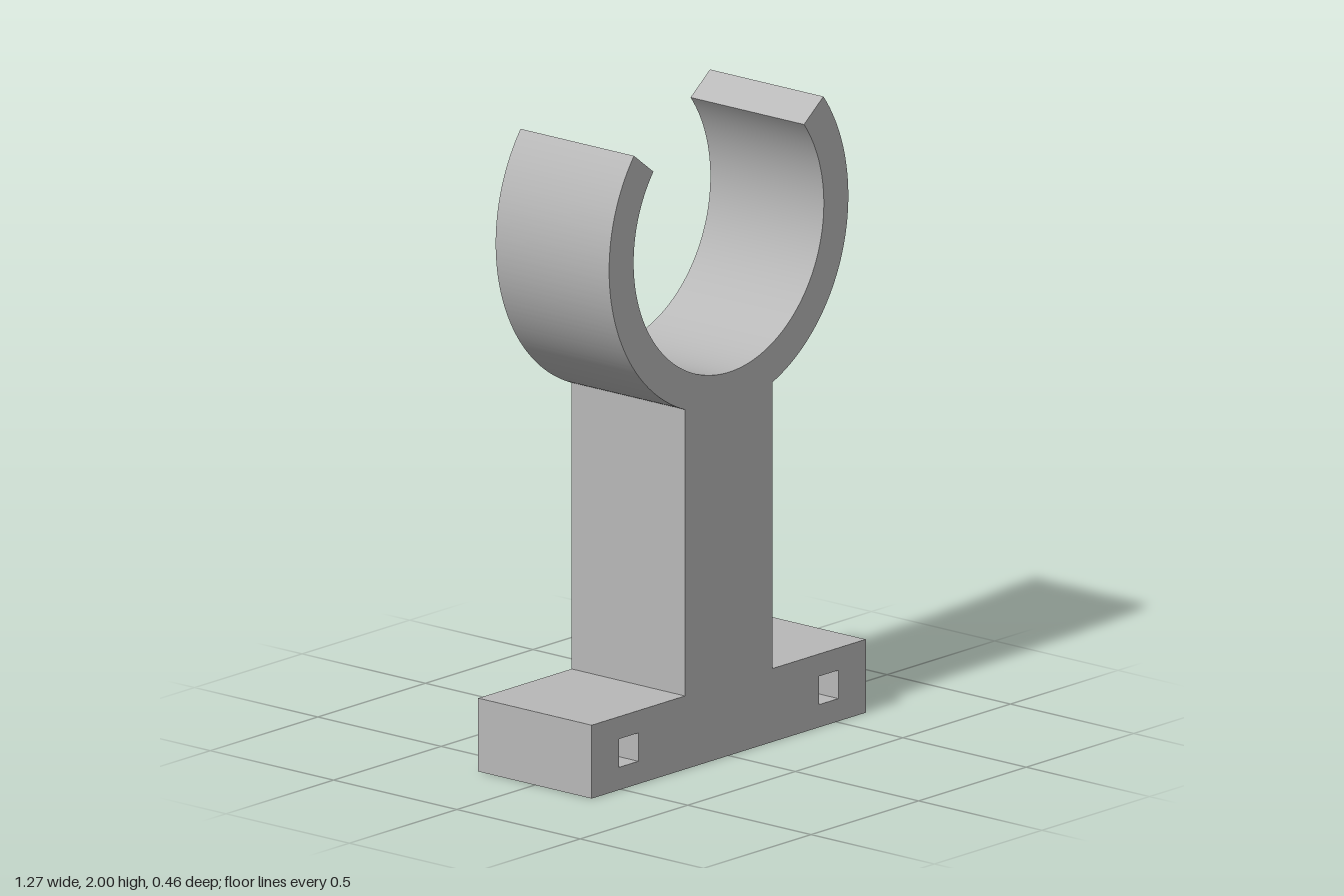
import * as THREE from 'three';
import { toCreasedNormals } from 'three/addons/utils/BufferGeometryUtils.js';

const DEPTH = 0.46;
const BASE_X = 0.637, BASE_H = 0.233, STEM_X = 0.203;
const RING_Y = 1.66, RING_OUT = 0.556, RING_IN = 0.442, RING_END = 0.657;
const HEX_R = 0.195, HEX_DEPTH = 0.17;

// Closed polygon from a list of [x, y] points
const polygon = (points, Type) => new Type(points.map(([x, y]) => new THREE.Vector2(x, y)));

const hexagon = () => Array.from({ length: 6 }, (_, i) => {
  const a = (i * Math.PI) / 3;
  return [HEX_R * Math.cos(a), HEX_R * Math.sin(a)];
});

// Base, stem and open ring as one outline, with a square hole in each foot
function bodyGeometry() {
  const joint = Math.acos(STEM_X / RING_OUT);
  const s = new THREE.Shape();
  s.moveTo(-BASE_X, 0);
  s.lineTo(BASE_X, 0);
  s.lineTo(BASE_X, BASE_H);
  s.lineTo(STEM_X, BASE_H);
  s.absarc(0, RING_Y, RING_OUT, -joint, RING_END, false);
  s.absarc(0, RING_Y, RING_IN, RING_END, Math.PI - RING_END, true);
  s.absarc(0, RING_Y, RING_OUT, Math.PI - RING_END, Math.PI + joint, false);
  s.lineTo(-STEM_X, BASE_H);
  s.lineTo(-BASE_X, BASE_H);
  for (const x of [-0.465, 0.465]) {
    const h = 0.045, y = 0.117;
    s.holes.push(polygon([[x - h, y - h], [x - h, y + h], [x + h, y + h], [x + h, y - h]], THREE.Path));
  }
  const geo = new THREE.ExtrudeGeometry(s, { depth: DEPTH, bevelEnabled: false, curveSegments: 72 });
  geo.translate(0, 0, -DEPTH / 2);

  // Leave the underside open: it is closed by a face with a hexagonal cut-out
  const p = geo.attributes.position, kept = [];
  for (let i = 0; i < p.count; i += 3) {
    if ([0, 1, 2].every((k) => Math.abs(p.getY(i + k)) < 1e-5)) continue;
    for (let k = 0; k < 3; k++) kept.push(p.getX(i + k), p.getY(i + k), p.getZ(i + k));
  }
  const open = new THREE.BufferGeometry();
  open.setAttribute('position', new THREE.Float32BufferAttribute(kept, 3));
  return toCreasedNormals(open, 0.35);
}

// Underside of the base around the hexagonal pocket
function undersideGeometry() {
  const z = DEPTH / 2;
  const s = polygon([[-BASE_X, -z], [BASE_X, -z], [BASE_X, z], [-BASE_X, z]], THREE.Shape);
  s.holes.push(polygon(hexagon(), THREE.Path));
  return new THREE.ShapeGeometry(s).rotateX(Math.PI / 2);
}

// Inward-facing walls of the pocket
function pocketWallGeometry() {
  const tube = new THREE.CylinderGeometry(HEX_R, HEX_R, HEX_DEPTH, 6, 1, true, Math.PI / 2);
  tube.index.array.reverse();
  const geo = tube.toNonIndexed();
  geo.computeVertexNormals();
  return geo.translate(0, HEX_DEPTH / 2, 0);
}

export function createModel() {
  const grey = new THREE.MeshStandardMaterial({ color: 0xb8b8b8 });
  grey.name = 'light grey';
  const group = new THREE.Group();
  group.name = 'pipeClip';
  const add = (name, geo) => {
    const mesh = new THREE.Mesh(geo, grey);
    mesh.name = name;
    group.add(mesh);
  };

  add('clipBody', bodyGeometry());
  add('baseUnderside', undersideGeometry());
  add('nutPocketWalls', pocketWallGeometry());
  const ceiling = new THREE.ShapeGeometry(polygon(hexagon(), THREE.Shape));
  add('nutPocketCeiling', ceiling.rotateX(Math.PI / 2).translate(0, HEX_DEPTH, 0));
  return group;
}
